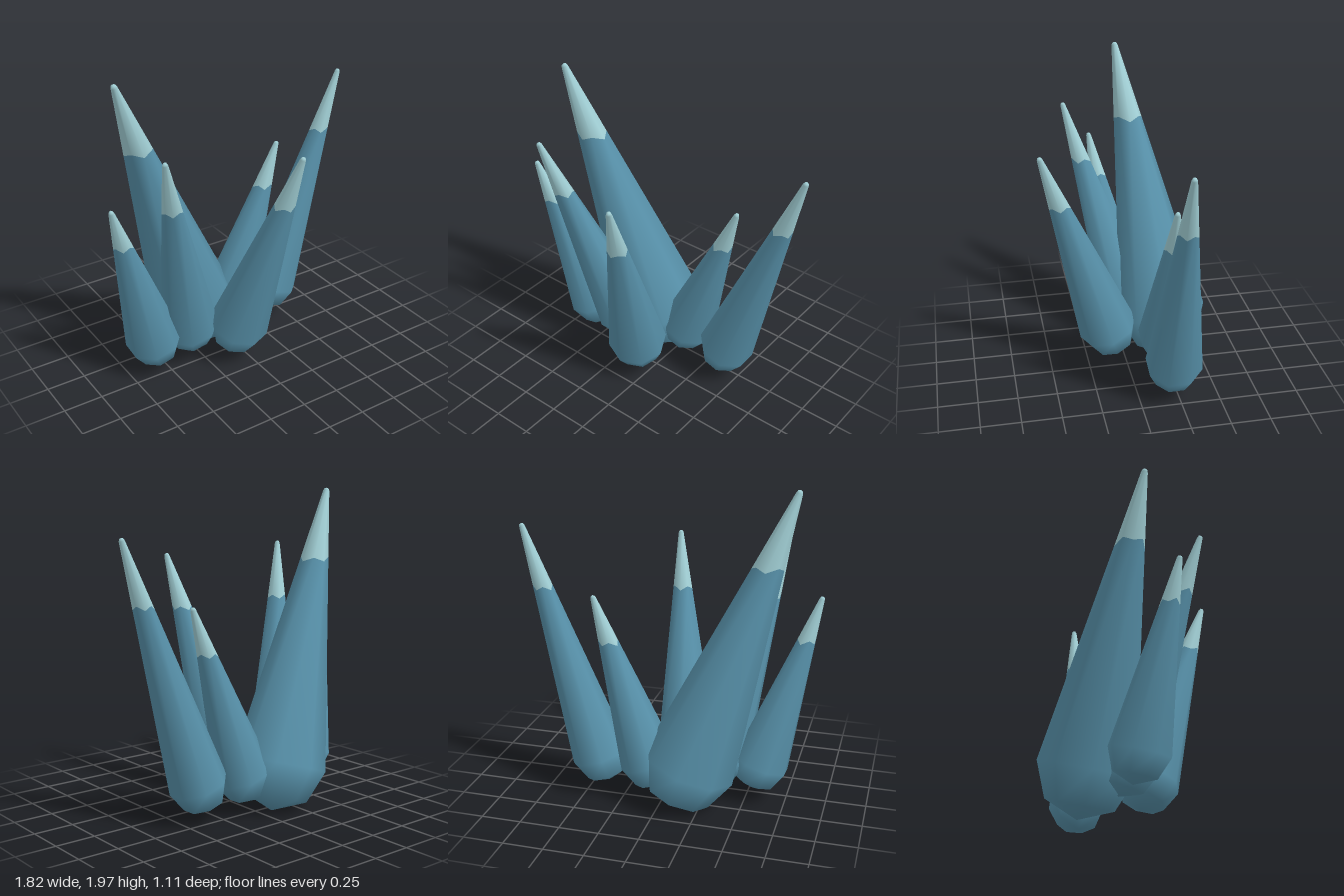
import * as THREE from 'three';

const SIDES = 8;

// Tapered capsule from a base centre to a tip centre; the pale end starts at a level height cutY.
function spikeGeometry(base, tip, baseR, tipR, cutY, turn) {
  const axis = tip.clone().sub(base);
  const length = axis.length();
  axis.normalize();
  const u = new THREE.Vector3(1, 0, 0).addScaledVector(axis, -axis.x).normalize();
  const v = u.clone().cross(axis);
  const at = (s, r, k) => {
    const a = turn + (k / SIDES) * Math.PI * 2;
    return base.clone().addScaledVector(axis, s)
      .addScaledVector(u, r * Math.cos(a)).addScaledVector(v, r * Math.sin(a));
  };
  const h = Math.SQRT1_2;
  const positions = [];
  const add = (p) => positions.push(p.x, p.y, p.z);

  add(at(-baseR, 0, 0)); // bottom pole
  const rings = [
    (k) => at(-baseR * h, baseR * h, k),
    (k) => at(0, baseR, k),
    (k) => { // colour boundary, slid along the straight side to its height
      const a = at(0, baseR, k), b = at(length, tipR, k);
      const y = cutY + (k % 2 ? 0.012 : -0.012);
      return a.clone().lerp(b, (y - a.y) / (b.y - a.y));
    },
    (k) => at(length, tipR, k),
    (k) => at(length + tipR * h, tipR * h, k),
  ];
  for (const ring of rings) for (let k = 0; k < SIDES; k++) add(ring(k));
  add(at(length + tipR, 0, 0)); // top pole

  const index = [];
  const id = (r, k) => 1 + r * SIDES + (k % SIDES);
  const last = 1 + rings.length * SIDES;
  for (let k = 0; k < SIDES; k++) index.push(0, id(0, k), id(0, k + 1));
  let split = 0;
  for (let r = 0; r < rings.length - 1; r++) {
    if (r === 2) split = index.length;
    for (let k = 0; k < SIDES; k++) {
      const a = id(r, k), b = id(r, k + 1), c = id(r + 1, k), d = id(r + 1, k + 1);
      index.push(a, c, b, c, d, b);
    }
  }
  for (let k = 0; k < SIDES; k++) index.push(id(rings.length - 1, k), last, id(rings.length - 1, k + 1));

  const g = new THREE.BufferGeometry();
  g.setAttribute('position', new THREE.Float32BufferAttribute(positions, 3));
  g.setIndex(index);
  g.addGroup(0, split, 0);
  g.addGroup(split, index.length - split, 1);
  g.computeVertexNormals();
  return g;
}

export function createModel() {
  const body = new THREE.MeshStandardMaterial({ color: 0x5892ab });
  body.name = 'deep ice blue';
  const frost = new THREE.MeshStandardMaterial({ color: 0xa2d0d6 });
  frost.name = 'pale frost';

  const eighth = Math.PI / 8;
  // name, base centre, tip centre, base radius, tip radius, frost height, turn
  const spikes = [
    ['mainSpike', [-0.18, 0.3, -0.27], [-0.76, 1.98, -0.06], 0.29, 0.02, 1.55, 0],
    ['innerRightSpike', [-0.33, 0.29, -0.06], [-0.66, 1.63, 0.3], 0.185, 0.017, 1.285, eighth],
    ['outerRightSpike', [-0.59, 0.275, -0.06], [-0.9, 1.32, 0.1], 0.18, 0.017, 1.065, eighth],
    ['frontSpike', [-0.065, 0.29, 0.12], [0.09, 1.565, 0.535], 0.19, 0.017, 1.235, 0],
    ['innerLeftSpike', [0.09, 0.28, -0.235], [0.44, 1.31, -0.21], 0.18, 0.017, 1.04, eighth],
    ['outerLeftSpike', [0.415, 0.275, -0.215], [0.895, 1.72, -0.18], 0.18, 0.017, 1.35, eighth],
  ];

  const model = new THREE.Group();
  model.name = 'iceSpikeCluster';
  for (const [name, base, tip, baseR, tipR, cutY, turn] of spikes) {
    const geometry = spikeGeometry(
      new THREE.Vector3(...base), new THREE.Vector3(...tip), baseR, tipR, cutY, turn);
    const mesh = new THREE.Mesh(geometry, [body, frost]);
    mesh.name = name;
    model.add(mesh);
  }
  return model;
}
